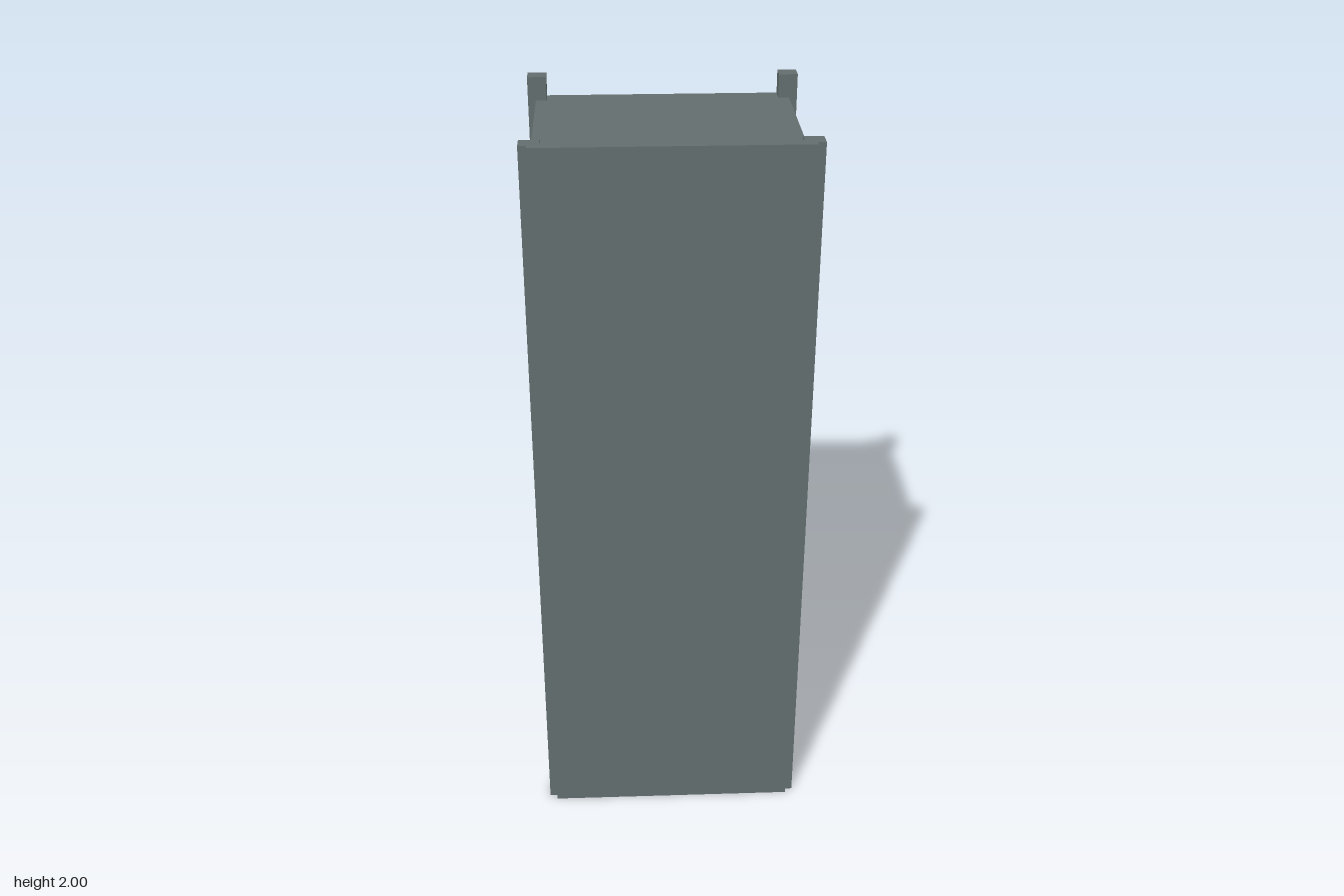
import * as THREE from 'three';

const material = (color) => new THREE.MeshStandardMaterial({ color });

// Box given by its min and max along each axis
function addBox(parent, name, mat, [x0, x1], [y0, y1], [z0, z1]) {
  const mesh = new THREE.Mesh(new THREE.BoxGeometry(x1 - x0, y1 - y0, z1 - z0), mat);
  mesh.position.set((x0 + x1) / 2, (y0 + y1) / 2, (z0 + z1) / 2);
  mesh.name = name;
  parent.add(mesh);
}

export function createModel() {
  const group = new THREE.Group();
  group.name = 'cabinet';
  const steel = material(0x636e6e);
  const green = material(0x4d6656);
  const wood = material(0x94713f);
  const dark = material(0x222827);

  // Mirrored span on the left (+1) or right (-1) side
  const span = (side, a, b) => (side > 0 ? [a, b] : [-b, -a]);

  for (const side of [1, -1]) {
    const label = side > 0 ? 'left' : 'right';
    // Corner posts
    addBox(group, `${label}PanelPost`, steel, span(side, 0.311, 0.361), [0, 2], [0.271, 0.317]);
    addBox(group, `${label}DoorPost`, steel, span(side, 0.311, 0.361), [0, 2], [-0.303, -0.257]);
    // Doors and their upright handles
    addBox(group, `${label}Door`, green, span(side, 0.009, 0.326), [0.093, 1.91], [-0.321, -0.305]);
    addBox(group, `${label}Handle`, wood, span(side, 0.032, 0.05), [0.885, 1.24], [-0.334, -0.321]);
  }

  // Closed panel
  addBox(group, 'panel', steel, [-0.34, 0.34], [0, 2], [0.295, 0.332]);

  // Thick shelves, evenly spaced
  for (let i = 0; i < 4; i++) {
    const y = 0.03 + i * 0.6;
    addBox(group, `shelf${i + 1}`, steel, [-0.34, 0.34], [y, y + 0.107], [-0.305, 0.295]);
  }

  // Vent slats across both doors
  for (let i = 0; i < 3; i++) {
    const y = 1.465 + i * 0.07;
    addBox(group, `ventSlat${i + 1}`, dark, [-0.211, 0.211], [y - 0.008, y + 0.008], [-0.329, -0.32]);
  }

  return group;
}
